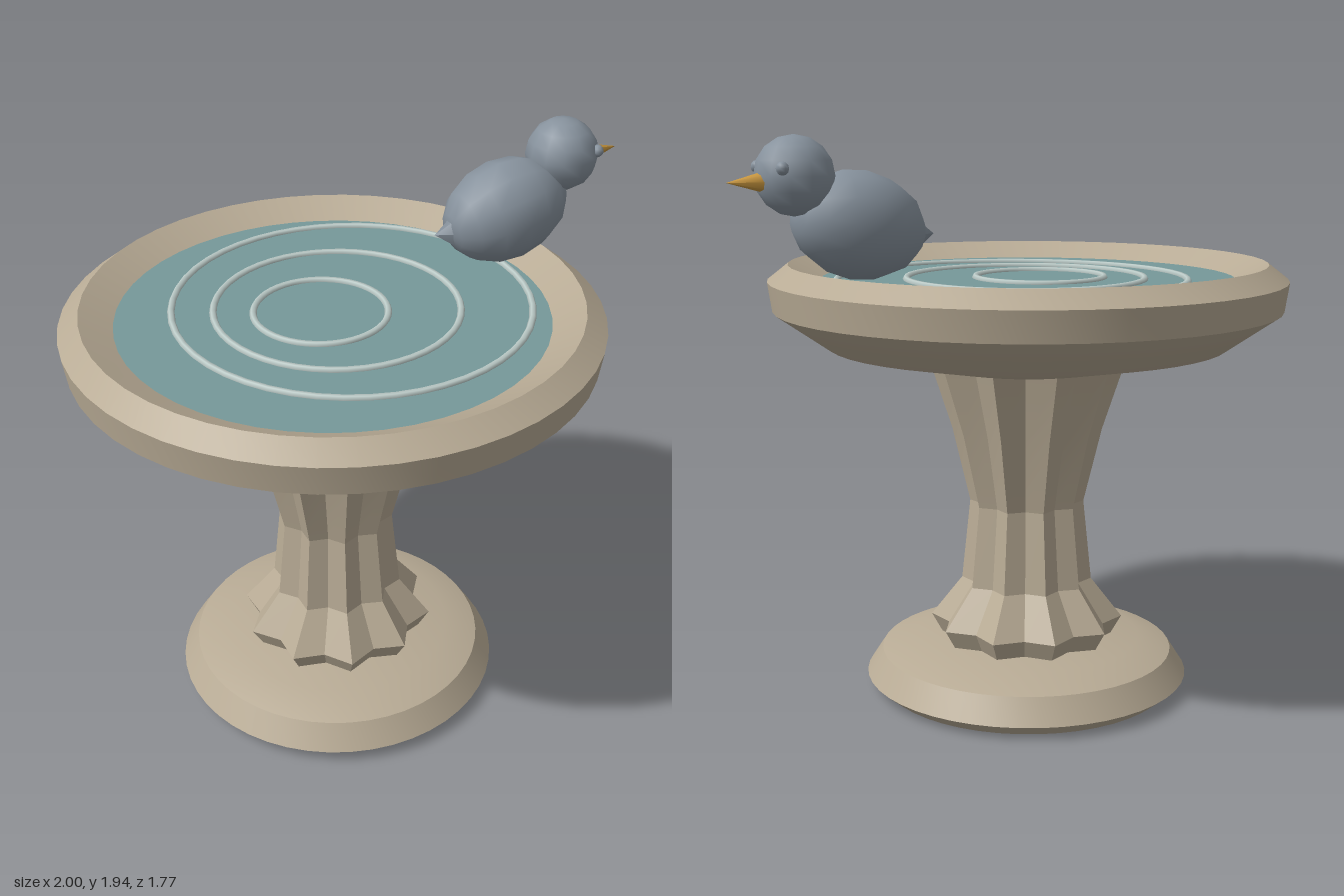
import * as THREE from 'three';
import { toCreasedNormals } from 'three/addons/utils/BufferGeometryUtils.js';

const AXIS_X = -0.115; // centre of the bath
const BIRD_Z = -0.045;

const stone = new THREE.MeshStandardMaterial({ color: 0xb8ab95 });
stone.name = 'stone';
const water = new THREE.MeshStandardMaterial({ color: 0x76999a });
water.name = 'water';
const ripple = new THREE.MeshStandardMaterial({ color: 0xbccbc8 });
ripple.name = 'ripple';
const feather = new THREE.MeshStandardMaterial({ color: 0x87929d });
feather.name = 'feather';
const horn = new THREE.MeshStandardMaterial({ color: 0xc9973f });
horn.name = 'horn';

function add(parent, name, geometry, material, x = 0, y = 0, z = 0) {
  const mesh = new THREE.Mesh(geometry, material);
  mesh.name = name;
  mesh.position.set(x, y, z);
  parent.add(mesh);
  return mesh;
}

// Turned stone shape with crisp edges
function turned(profile) {
  const points = profile.map(([r, y]) => new THREE.Vector2(r, y));
  return toCreasedNormals(new THREE.LatheGeometry(points, 48), 0.48);
}

// Column whose section is a ten-pointed star; rows are [peak radius, y] from the top
function flutedColumn(rows) {
  const sides = 20;
  const geometry = new THREE.CylinderGeometry(1, 1, 1, sides, rows.length - 1, true);
  const pos = geometry.attributes.position;
  for (let i = 0; i < pos.count; i++) {
    const [r, y] = rows[Math.floor(i / (sides + 1))];
    const k = i % (sides + 1);
    const radius = k % 2 ? r : r * 0.84;
    const a = (k / sides) * Math.PI * 2;
    pos.setXYZ(i, radius * Math.sin(a), y, radius * Math.cos(a));
  }
  return toCreasedNormals(geometry, 0.2);
}

function buildBath() {
  const bath = new THREE.Group();
  bath.name = 'bath';
  bath.position.x = AXIS_X;

  add(bath, 'base', turned([
    [0, 0], [0.515, 0], [0.57, 0.045], [0.515, 0.13], [0.4, 0.17], [0, 0.17],
  ]), stone);

  add(bath, 'pedestal', flutedColumn([
    [0.34, 1.158], [0.262, 0.92], [0.2, 0.66], [0.23, 0.375], [0.34, 0.235], [0.3, 0.165],
  ]), stone);

  add(bath, 'bowl', turned([
    [0, 1.15], [0.32, 1.15], [0.69, 1.225], [0.87, 1.35], [0.885, 1.45],
    [0.815, 1.505], [0.705, 1.448], [0.55, 1.37], [0, 1.32],
  ]), stone);

  const surface = new THREE.CircleGeometry(0.71, 48).rotateX(-Math.PI / 2);
  add(bath, 'waterSurface', surface, water, 0, 1.45, 0);

  // Ripples drift slightly off centre: [radius, x]
  for (const [r, x] of [[0.22, -0.03], [0.405, 0.03], [0.592, 0.085]]) {
    const ring = new THREE.TorusGeometry(r, 0.012, 6, 48).rotateX(Math.PI / 2);
    add(bath, 'ripple', ring, ripple, x, 1.452, -0.03);
  }
  return bath;
}

function buildBird() {
  const bird = new THREE.Group();
  bird.name = 'bird';
  bird.position.z = BIRD_Z;

  // Body, tilted with the breast up
  const body = add(bird, 'body', new THREE.SphereGeometry(1, 12, 8).rotateZ(-Math.PI / 2),
    feather, 0.56, 1.657, 0);
  body.scale.set(0.226, 0.172, 0.162);
  body.rotation.z = 0.2;

  add(bird, 'head', new THREE.SphereGeometry(0.124, 12, 8), feather, 0.777, 1.815, 0);

  for (const side of [-1, 1]) {
    add(bird, 'eye', new THREE.SphereGeometry(0.021, 8, 6), feather, 0.858, 1.84, side * 0.089);
  }

  const beak = new THREE.ConeGeometry(0.032, 0.12, 8).rotateZ(-Math.PI / 2);
  add(bird, 'beak', beak, horn, 0.94, 1.798, 0);

  // Tail, a narrow upright wedge
  const tail = new THREE.ConeGeometry(0.1, 0.13, 6).rotateZ(Math.PI / 2);
  add(bird, 'tail', tail, feather, 0.352, 1.62, 0).scale.z = 0.6;
  return bird;
}

export function createModel() {
  const model = new THREE.Group();
  model.name = 'birdBath';
  model.add(buildBath(), buildBird());
  return model;
}
